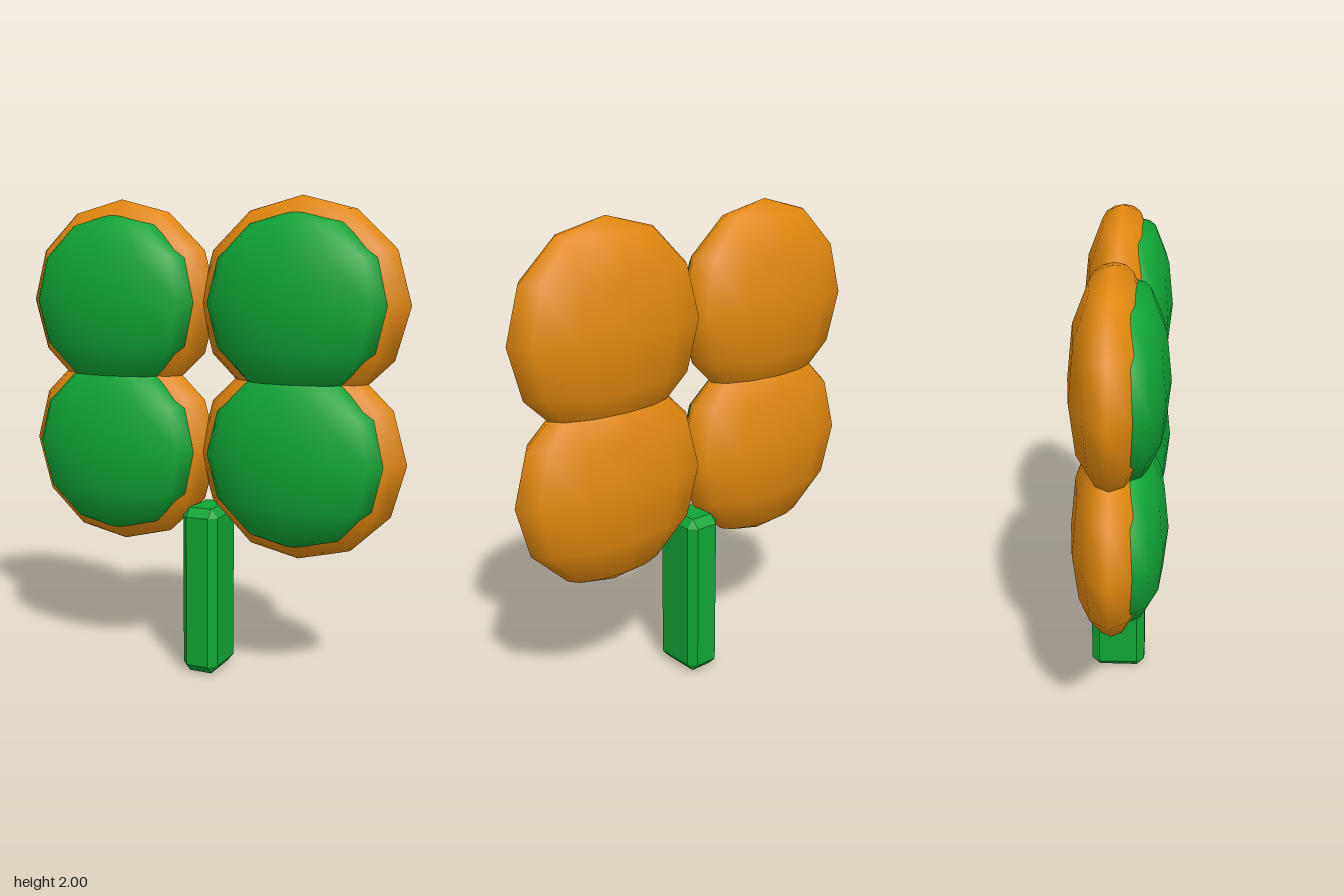
import * as THREE from 'three';
import { ConvexGeometry } from 'three/addons/geometries/ConvexGeometry.js';

// Low-sided smooth ellipsoid
function ellipsoid(name, material, radii, position) {
  const geometry = new THREE.SphereGeometry(1, 12, 6);
  geometry.scale(...radii); // also corrects the normals
  const mesh = new THREE.Mesh(geometry, material);
  mesh.name = name;
  mesh.position.set(...position);
  return mesh;
}

// Box with every edge and corner cut by one flat chamfer
function chamferedBox(hx, hy, hz, bevel) {
  const points = [];
  for (const sx of [-1, 1]) for (const sy of [-1, 1]) for (const sz of [-1, 1]) {
    for (let axis = 0; axis < 3; axis++) {
      const inset = [0, 1, 2].map((i) => (i === axis ? 0 : bevel[i]));
      points.push(new THREE.Vector3(
        sx * (hx - inset[0]), sy * (hy - inset[1]), sz * (hz - inset[2])));
    }
  }
  return new ConvexGeometry(points);
}

export function createModel() {
  const group = new THREE.Group();
  group.name = 'padPlant';

  const green = new THREE.MeshStandardMaterial({ color: 0x10a535 });
  green.name = 'green';
  const orange = new THREE.MeshStandardMaterial({ color: 0xe2880f });
  orange.name = 'orange';

  // Four lobes: an orange shell with a green cushion on its front
  for (const [row, y] of [['lower', 0.955], ['upper', 1.575]]) {
    for (const [side, x] of [['Right', -0.407], ['Left', 0.407]]) {
      const lobe = new THREE.Group();
      lobe.name = `${row}${side}Lobe`;
      lobe.position.set(x, y, 0);
      lobe.add(
        ellipsoid('shell', orange, [0.448, 0.425, 0.165], [0, 0, -0.025]),
        ellipsoid('cushion', green, [0.385, 0.364, 0.14], [0, 0, 0.05]),
      );
      group.add(lobe);
    }
  }

  // Stem
  const stem = new THREE.Mesh(chamferedBox(0.08, 0.36, 0.118, [0.03, 0.036, 0.034]), green);
  stem.name = 'stem';
  stem.position.set(0, 0.36, -0.025);
  group.add(stem);

  return group;
}
